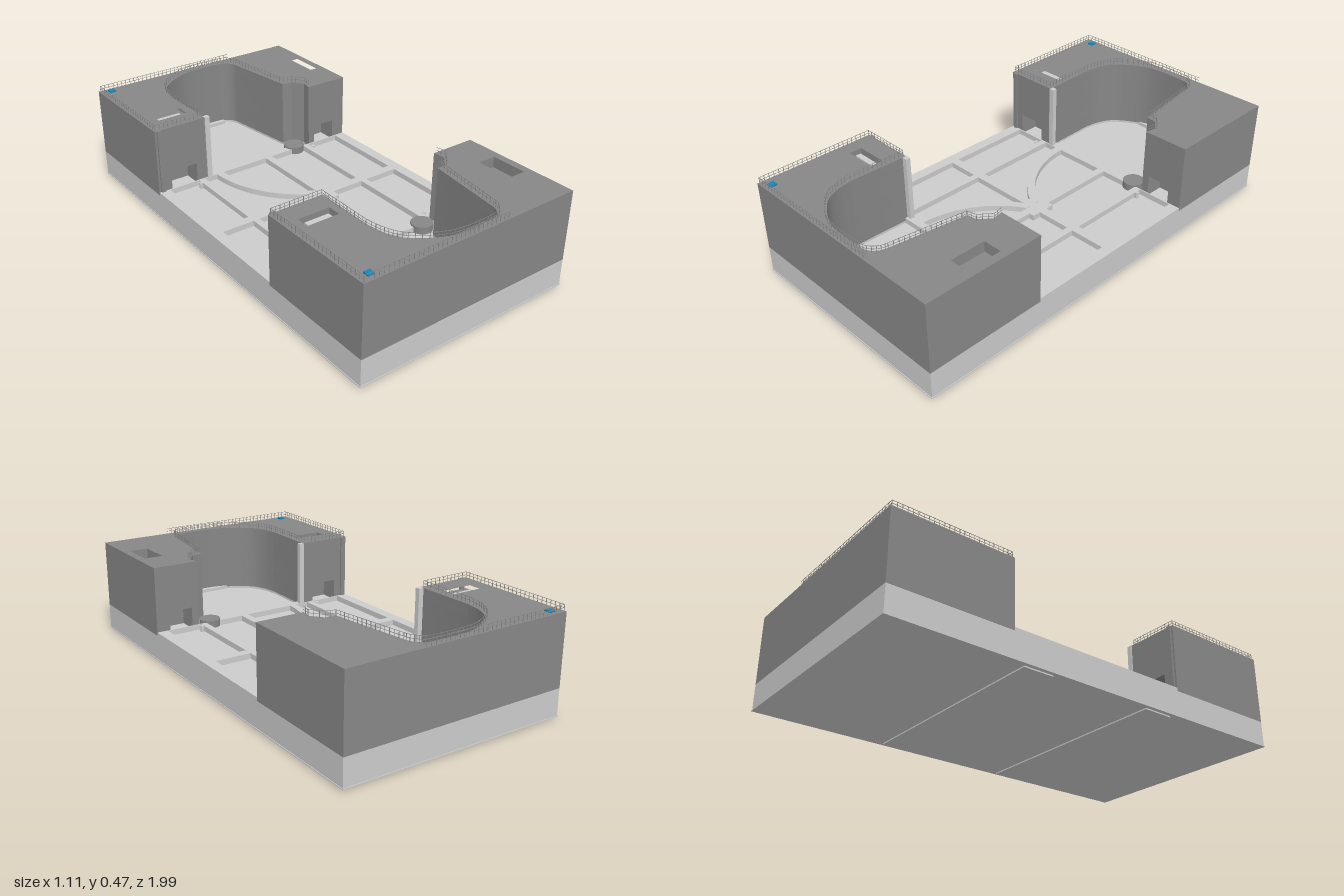
import * as THREE from 'three';
import { mergeGeometries, toCreasedNormals } from 'three/addons/utils/BufferGeometryUtils.js';

const HX = 0.515, HZ = 0.975, EDGE = 0.43;       // plan half sizes, inner face of the end blocks
const FLOOR = 0.115, DECK = 0.14, BAND = 0.125, ROOF = 0.437;

const light = new THREE.MeshStandardMaterial({ color: 0xcccccc });
const dark = new THREE.MeshStandardMaterial({ color: 0x878787 });
const blue = new THREE.MeshStandardMaterial({ color: 0x1584bd });

const vec = ([x, z]) => new THREE.Vector2(x, z);

function add(parent, name, geometry, material) {
  const mesh = new THREE.Mesh(geometry, material);
  mesh.name = name;
  parent.add(mesh);
  return mesh;
}

// Box given by its plan centre, plan size and vertical range
function slab(x, z, w, d, y0, y1) {
  return new THREE.BoxGeometry(w, y1 - y0, d).translate(x, (y0 + y1) / 2, z);
}

// Plan outline (x, z) raised from y0 to y1
function prism(points, y0, y1, holes = []) {
  const shape = new THREE.Shape(points.map(vec));
  for (const h of holes) shape.holes.push(new THREE.Path(h.map(vec)));
  const g = new THREE.ExtrudeGeometry(shape, { depth: y1 - y0, bevelEnabled: false });
  g.rotateX(Math.PI / 2).translate(0, y1, 0);
  return toCreasedNormals(g, 0.5);
}

const rect = (x0, x1, z0, z1) => [[x0, z0], [x1, z0], [x1, z1], [x0, z1]];

// Rounded recess cut into each end block
const recess = new THREE.SplineCurve([
  [-0.27, 0.7], [-0.255, 0.78], [-0.213, 0.853], [-0.109, 0.92], [-0.016, 0.94],
  [0.1, 0.938], [0.145, 0.93], [0.175, 0.9], [0.184, 0.868],
].map(vec)).getPoints(40).map((p) => [p.x, p.y]);
const notch = [[0.229, 0.535], [0.276, 0.527], [0.315, 0.48], [0.307, EDGE]];

// Block footprint, optionally with doorways in the inner face
function footprint(s, doors) {
  const door = (a, b) => (doors ? [[a, EDGE], [a, EDGE + 0.09], [b, EDGE + 0.09], [b, EDGE]] : []);
  return [
    [-HX, HZ], [-HX, EDGE], ...door(-0.45, -0.32), [-0.265, EDGE], ...recess, ...notch,
    ...door(0.34, 0.45), [HX, EDGE], [HX, HZ],
  ].map(([x, z]) => [x, s * z]);
}

// Thin posts with a top rail along a plan path
function railing(path, s) {
  const parts = [];
  for (let i = 0; i + 1 < path.length; i++) {
    const a = vec(path[i]), b = vec(path[i + 1]);
    const len = a.distanceTo(b), n = Math.max(1, Math.round(len / 0.022));
    for (let k = 0; k < n; k++) {
      const p = a.clone().lerp(b, k / n);
      parts.push(slab(p.x, s * p.y, 0.0018, 0.0018, ROOF, 0.465));
    }
    for (const y of [0.451, 0.464]) {
      const bar = new THREE.BoxGeometry(len, 0.0015, 0.0015);
      bar.rotateY(-Math.atan2(s * (b.y - a.y), b.x - a.x));
      parts.push(bar.translate((a.x + b.x) / 2, y, (s * (a.y + b.y)) / 2));
    }
  }
  return mergeGeometries(parts);
}

// One end block; s = 1 at the front, -1 at the back
function endBlock(s) {
  const g = new THREE.Group();
  g.name = s > 0 ? 'frontBlock' : 'backBlock';
  const hatch = rect(0.395, 0.48, s * 0.6, s * 0.76);
  const slot = rect(-0.448, -0.304, s * 0.522, s * 0.58);
  add(g, 'blockBase', prism(footprint(s, false), FLOOR, BAND), light);
  add(g, 'lowerWalls', prism(footprint(s, true), BAND, 0.225), dark);
  add(g, 'middleWalls', prism(footprint(s, false), 0.225, 0.39), dark);
  add(g, 'upperWallsAndRoof', prism(footprint(s, false), 0.39, ROOF, [hatch, slot]), dark);
  add(g, 'roofSlotFloor', slab(-0.376, s * 0.551, 0.11, 0.025, 0.39, 0.425), light);
  add(g, 'roofPad', slab(-0.463, s * 0.94, 0.028, 0.028, ROOF, 0.444), blue);

  // Corner posts on the inner face
  add(g, 'recessCornerPost', slab(-0.255, s * 0.437, 0.024, 0.022, FLOOR, ROOF), light);
  add(g, 'outerCornerPost', slab(-0.495, s * 0.428, 0.02, 0.012, DECK, ROOF), dark);

  // Recess floor details
  add(g, 'thresholdRib', slab(-0.03, s * 0.445, 0.47, 0.03, FLOOR, DECK), light);
  add(g, 'recessStep', slab(0.01, s * 0.932, 0.24, 0.03, FLOOR, 0.13), light);
  const disc = new THREE.CylinderGeometry(0.048, 0.048, 0.033, 32);
  add(g, 'roundPlinth', disc.translate(0.237, FLOOR + 0.0165, s * 0.457), dark);

  // Railings: outer edges, then the recess rim
  const rim = recess.filter((_, i) => i % 2 === 0).map(([x, z]) => [x * 1.03, 0.68 + (z - 0.68) * 1.03]);
  add(g, 'outerRailing', railing([[-0.275, 0.437], [-0.508, 0.437], [-0.508, 0.968], [0.19, 0.968]], s), dark);
  add(g, 'recessRailing', railing([[-0.275, 0.437], ...rim, [0.238, 0.542], [0.28, 0.533], [0.322, 0.482], [0.313, 0.437]], s), dark);
  return g;
}

// Ribbed deck between the blocks
function deck() {
  const g = new THREE.Group();
  g.name = 'deck';
  const cells = [];
  for (const s of [1, -1]) {
    for (const [a, b] of [[-0.465, -0.315], [-0.285, 0.05], [0.085, 0.27], [0.3, 0.465]]) {
      cells.push(rect(a, b, s * 0.02, s * 0.425));
    }
    // Curved rib and the pad where it meets the middle
    const band = [];
    for (let i = 0; i <= 24; i++) band.push([0.49, Math.PI + (i / 24) * 1.1]);
    for (let i = 24; i >= 0; i--) band.push([0.455, Math.PI + (i / 24) * 1.06]);
    const arc = band.map(([r, t]) => [0.27 + r * Math.cos(t), s * (0.435 + r * Math.sin(t))]);
    add(g, 'curvedRib', prism(arc, FLOOR, DECK), light);
    add(g, 'middlePad', slab(0.08, s * 0.03, 0.06, 0.06, FLOOR, DECK), light);
    for (const x of [-0.322, 0.308]) {
      const stud = new THREE.CylinderGeometry(0.009, 0.009, 0.028, 16);
      add(g, 'floorStud', stud.translate(x, FLOOR + 0.014, s * 0.395), light);
    }
  }
  add(g, 'deckRibs', prism(rect(-HX, HX, -EDGE, EDGE), FLOOR, DECK, cells), light);
  return g;
}

export function createModel() {
  const model = new THREE.Group();
  model.name = 'building';
  add(model, 'baseSlab', slab(0, 0, HX * 2, HZ * 2, 0.006, FLOOR), light);
  add(model, 'baseFlange', slab(0, 0, 1.036, 1.956, 0.006, 0.01), light);
  // Shallow strips under the base
  add(model, 'backUnderStrip', slab(0, -0.305, 1.0, 0.14, 0, 0.007), light);
  add(model, 'frontUnderStrip', slab(0, 0.32, 1.0, 0.14, 0, 0.007), light);
  model.add(deck(), endBlock(1), endBlock(-1));

  // The plan is turned slightly off the axes
  model.rotation.y = -0.038;
  return model;
}
